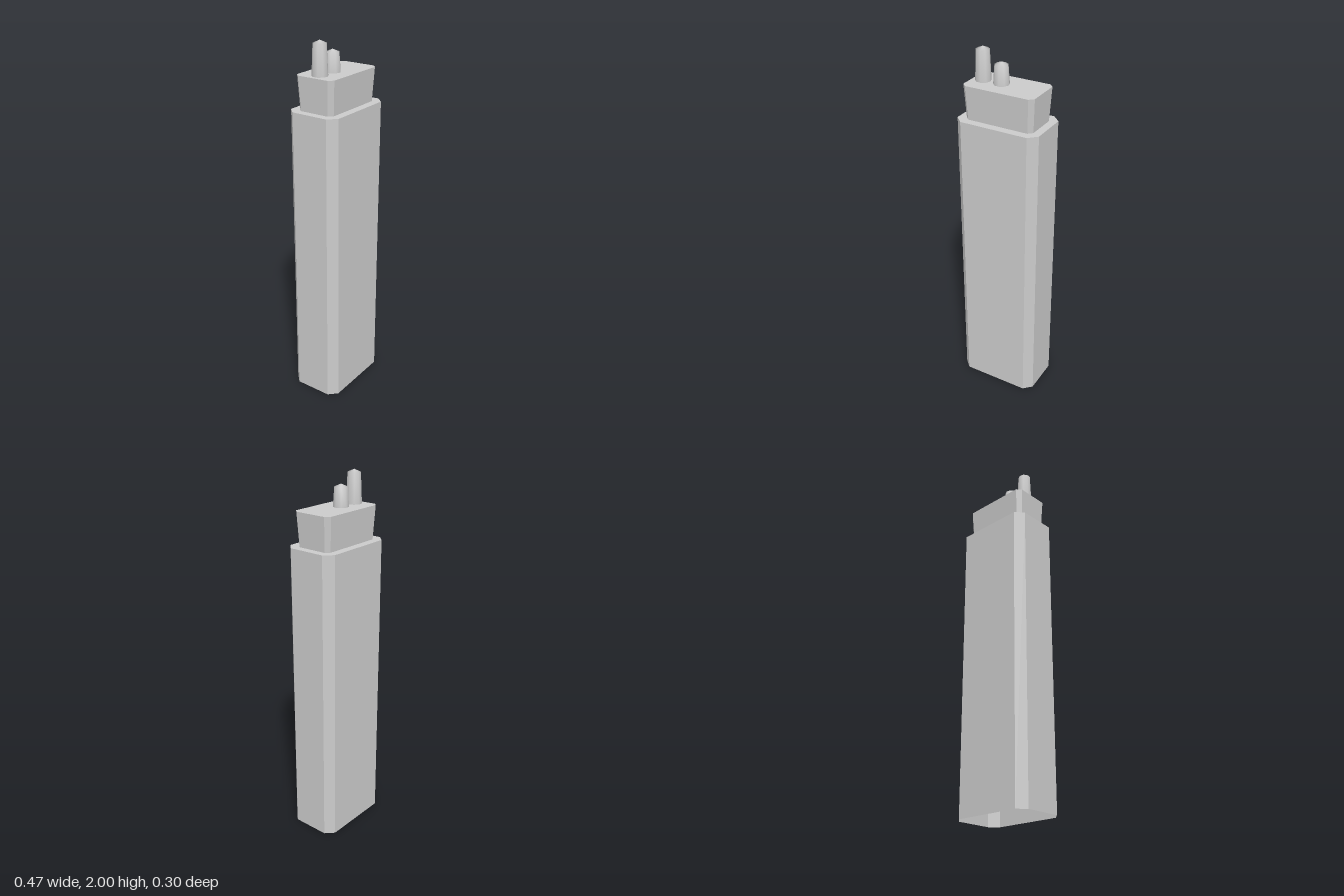
import * as THREE from 'three';

const grey = new THREE.MeshStandardMaterial({ color: 0xcccccc, flatShading: true, side: THREE.DoubleSide });
const smoothGrey = new THREE.MeshStandardMaterial({ color: 0xcccccc, side: THREE.DoubleSide });

// Rectangle with cut corners at height y, counter-clockwise seen from above
function ring(w, d, cut, y) {
  return [
    [w, d - cut], [w, cut - d], [w - cut, -d], [cut - w, -d],
    [-w, cut - d], [-w, d - cut], [cut - w, d], [w - cut, d],
  ].map(([x, z]) => new THREE.Vector3(x, y, z));
}

// Walls between two rings plus a flat lid; the underside stays open
function openShell(name, low, high) {
  const points = [];
  const n = low.length;
  for (let i = 0; i < n; i++) {
    const j = (i + 1) % n;
    points.push(low[i], low[j], high[j], low[i], high[j], high[i]);
    if (i > 0 && i < n - 1) points.push(high[0], high[i], high[j]);
  }
  const geometry = new THREE.BufferGeometry().setFromPoints(points);
  geometry.computeVertexNormals();
  const mesh = new THREE.Mesh(geometry, grey);
  mesh.name = name;
  return mesh;
}

// Tapered nine-sided peg with a shallow pointed tip
function peg(name, x, base, top) {
  const profile = [[0.042, base], [0.035, top - 0.015], [0, top]]
    .map(([r, y]) => new THREE.Vector2(r, y));
  const mesh = new THREE.Mesh(new THREE.LatheGeometry(profile, 9, Math.PI / 2), smoothGrey);
  mesh.name = name;
  mesh.position.x = x;
  return mesh;
}

export function createModel() {
  const model = new THREE.Group();
  model.name = 'device';
  model.add(
    // Tall body, open at the bottom
    openShell('body', ring(0.233, 0.148, 0.044, 0), ring(0.233, 0.148, 0.044, 1.645)),
    // Head, flaring slightly towards the top
    openShell('head', ring(0.191, 0.104, 0.022, 1.645), ring(0.2, 0.114, 0.023, 1.825)),
    // Two pegs on the right half of the head
    peg('tallPeg', -0.14, 1.825, 2),
    peg('shortPeg', -0.035, 1.825, 1.94),
  );
  return model;
}
